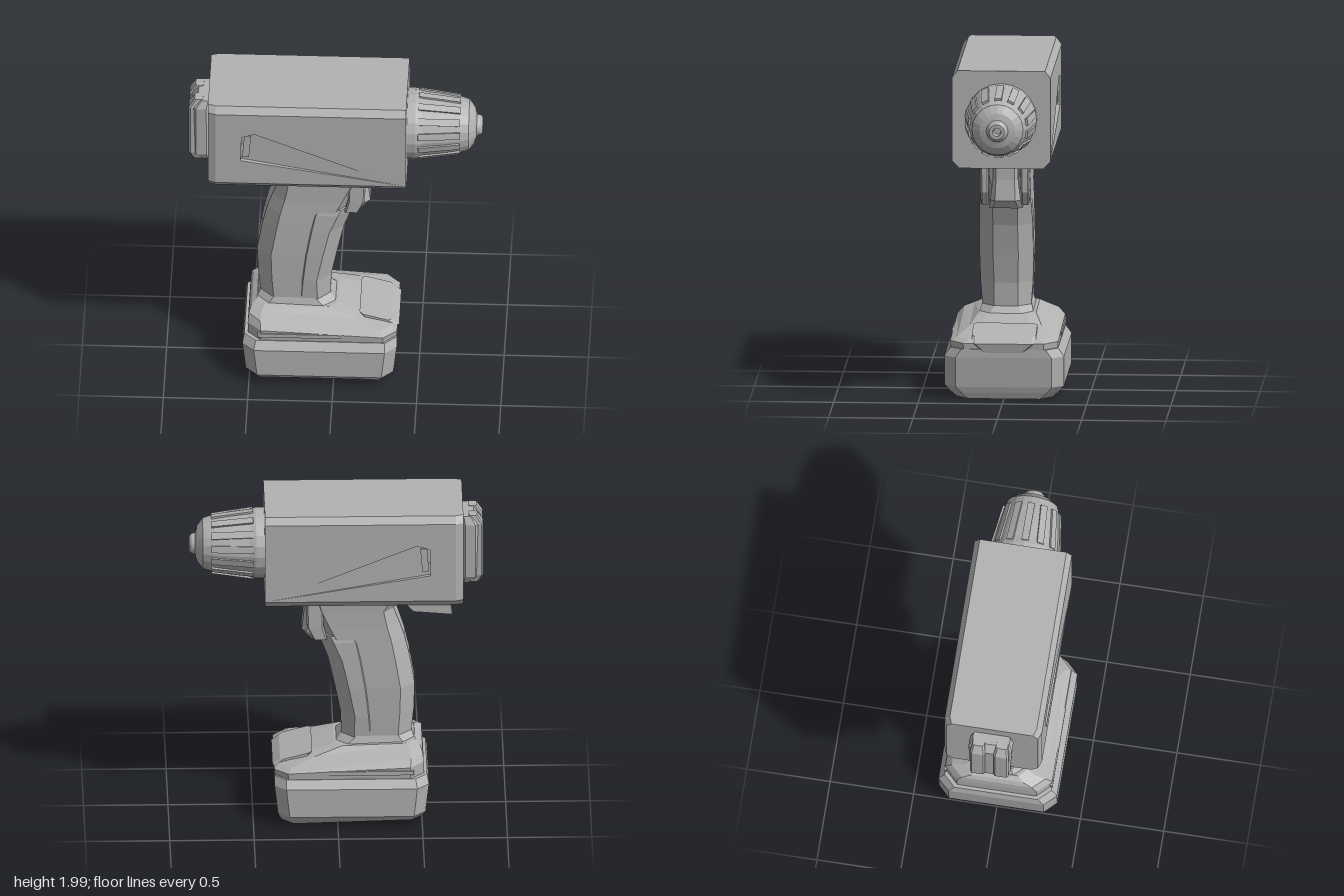
import * as THREE from 'three';

const grey = new THREE.MeshStandardMaterial({ color: 0xb2b2b2 });
grey.name = 'plain grey';

// Adds a faceted mesh with a part name
function add(parent, name, geometry) {
  const flat = geometry.index ? geometry.toNonIndexed() : geometry;
  flat.computeVertexNormals();
  const mesh = new THREE.Mesh(flat, grey);
  mesh.name = name;
  parent.add(mesh);
  return mesh;
}

// Chamfered rectangle in plan; height runs from yBack at x0 to yFront at x1
function ring([x0, x1, half, c, yBack, yFront = yBack]) {
  const plan = [
    [x1, c - half], [x1, half - c], [x1 - c, half], [x0 + c, half],
    [x0, half - c], [x0, c - half], [x0 + c, -half], [x1 - c, -half],
  ];
  return plan.map(([x, z]) => [x, yBack + (yFront - yBack) * (x - x0) / (x1 - x0), z]);
}

// Joins stacked rings, listed from bottom to top, into a closed solid
function loft(sections) {
  const rings = sections.map(ring);
  const n = 8, pos = rings.flat(2), index = [];
  for (let r = 0; r < rings.length - 1; r++) {
    for (let i = 0; i < n; i++) {
      const a = r * n + i, b = r * n + (i + 1) % n;
      index.push(a, a + n, b, b, a + n, b + n);
    }
  }
  const top = (rings.length - 1) * n;
  for (let i = 1; i < n - 1; i++) {
    index.push(0, i, i + 1, top, top + i + 1, top + i);
  }
  const g = new THREE.BufferGeometry();
  g.setAttribute('position', new THREE.Float32BufferAttribute(pos, 3));
  g.setIndex(index);
  return g;
}

const vectors = (points) => points.map(([x, y]) => new THREE.Vector2(x, y));

function extrude(shape, depth) {
  return new THREE.ExtrudeGeometry(shape, { depth, bevelEnabled: false });
}

// Extrudes a z-y section along x, starting at x
function alongX(half, x, length) {
  const section = [...half, ...half.slice().reverse().map(([z, y]) => [-z, y])];
  return extrude(new THREE.Shape(vectors(section)), length).rotateY(Math.PI / 2).translate(x, 0, 0);
}

function box(parent, name, size, position) {
  const mesh = add(parent, name, new THREE.BoxGeometry(...size));
  mesh.position.set(...position);
  return mesh;
}

export function createModel() {
  const model = new THREE.Group();
  model.name = 'cordlessDrill';

  // Motor housing: chamfered core with side plates cut by a tapering recess
  const housing = new THREE.Group();
  housing.name = 'motorHousing';
  housing.position.z = 0.01;
  model.add(housing);
  add(housing, 'housingCore', alongX(
    [[0.25, 1.41], [0.292, 1.455], [0.255, 1.455], [0.255, 1.955], [0.292, 1.955], [0.26, 1.997]], -0.70, 1.13));
  const recess = [[-0.55, 1.62], [-0.545, 1.79], [-0.47, 1.815], [0.39, 1.465]];
  for (const side of [1, -1]) {
    const plate = new THREE.Shape(vectors([[-0.70, 1.455], [0.43, 1.455], [0.43, 1.955], [-0.70, 1.955]]));
    plate.holes.push(new THREE.Path(vectors(recess)));
    add(housing, 'sidePlate', extrude(plate, 0.037).translate(0, 0, side > 0 ? 0.255 : -0.292));
    // Recess floor rises from the vent to the plate surface at its point
    const ramp = extrude(new THREE.Shape(vectors(recess)), 1);
    const v = ramp.attributes.position;
    for (let i = 0; i < v.count; i++) {
      const height = 0.012 + 0.024 * (v.getX(i) + 0.55) / 0.94;
      const outer = side > 0 ? v.getZ(i) > 0.5 : v.getZ(i) < 0.5;
      v.setZ(i, side * (outer ? 0.255 + height : 0.25));
    }
    add(housing, 'recessFloor', ramp);
    const vent = box(housing, 'ventBlock', [0.04, 0.15, 0.025], [-0.515, 1.715, side * 0.267]);
    vent.rotation.z = -0.08;
  }

  // Rear panel, narrowing slightly toward the back
  const panel = alongX([[0.25, 1.41], [0.292, 1.455], [0.292, 1.955], [0.26, 1.997]], -0.745, 0.045);
  const p = panel.attributes.position;
  for (let i = 0; i < p.count; i++) {
    if (p.getX(i) < -0.72) p.setZ(i, p.getZ(i) * 0.94);
  }
  add(housing, 'rearPanel', panel);

  // Rear cap with two raised ribs
  add(model, 'rearCap', loft([
    [-0.80, -0.73, 0.09, 0.02, 1.48], [-0.85, -0.73, 0.12, 0.03, 1.53],
    [-0.85, -0.73, 0.13, 0.03, 1.87], [-0.81, -0.73, 0.11, 0.02, 1.92],
  ])).position.z = 0.01;
  for (const z of [-0.06, 0.08]) {
    const rib = add(model, 'rearCapRib', loft([
      [-0.84, -0.78, 0.03, 0.01, 1.49], [-0.865, -0.78, 0.045, 0.01, 1.54],
      [-0.865, -0.78, 0.045, 0.01, 1.87], [-0.83, -0.78, 0.035, 0.01, 1.925],
    ]));
    rib.position.z = z;
  }

  // Chuck: full, rounded lathe with low ribs around it
  const chuck = new THREE.Group();
  chuck.name = 'chuck';
  chuck.position.set(0.42, 1.71, 0.01);
  chuck.rotation.z = -Math.PI / 2;
  model.add(chuck);
  const profile = [[0, 0], [0.212, 0], [0.213, 0.06], [0.202, 0.10], [0.190, 0.20], [0.172, 0.31], [0.152, 0.375],
    [0.105, 0.41], [0.065, 0.42], [0.06, 0.44], [0.045, 0.455], [0.025, 0.455], [0.02, 0.41], [0, 0.41]];
  add(chuck, 'chuckSleeve', new THREE.LatheGeometry(vectors(profile), 20));
  for (let i = 0; i < 14; i++) {
    const spoke = new THREE.Group();
    spoke.name = 'chuckRib';
    spoke.rotation.y = i * Math.PI * 2 / 14;
    chuck.add(spoke);
    const rib = box(spoke, 'rib', [0.014, 0.25, 0.042], [0.19, 0.2, 0]);
    rib.rotation.z = 0.14;
  }

  // Handle with rounded corners, curving back toward the foot
  add(model, 'handle', loft([
    [-0.48, 0.03, 0.17, 0.06, 0.43], [-0.44, -0.035, 0.145, 0.08, 0.51],
    [-0.455, -0.03, 0.15, 0.085, 0.65], [-0.46, 0.005, 0.154, 0.085, 0.82],
    [-0.43, 0.04, 0.152, 0.085, 1.0], [-0.40, 0.08, 0.15, 0.08, 1.13],
    [-0.37, 0.12, 0.148, 0.075, 1.22], [-0.335, 0.15, 0.15, 0.06, 1.32],
    [-0.39, 0.18, 0.155, 0.06, 1.42],
  ])).position.z = 0.008;
  add(model, 'gripPanel', loft([
    [-0.27, -0.025, 0.145, 0.075, 0.5], [-0.27, -0.02, 0.156, 0.085, 0.64],
    [-0.25, 0.015, 0.16, 0.085, 0.82], [-0.22, 0.055, 0.158, 0.085, 1.0],
    [-0.19, 0.10, 0.154, 0.08, 1.12], [-0.15, 0.11, 0.145, 0.07, 1.16],
  ])).position.z = 0.008;
  add(model, 'trigger', loft([
    [0.02, 0.15, 0.10, 0.025, 1.12], [0.04, 0.21, 0.09, 0.03, 1.175],
    [0.05, 0.195, 0.075, 0.02, 1.30], [0.05, 0.195, 0.075, 0.02, 1.42],
  ]));
  for (const side of [1, -1]) {
    add(model, 'triggerCheek', loft([
      [0.06, 0.14, 0.022, 0.008, 1.14], [0.08, 0.18, 0.025, 0.01, 1.22], [0.08, 0.185, 0.025, 0.01, 1.42],
    ])).position.z = 0.005 + side * 0.12;
  }

  // Small flap hanging under the rear of the housing
  const flap = new THREE.Shape(vectors([[-0.68, 1.345], [-0.45, 1.365], [-0.40, 1.42], [-0.67, 1.42]]));
  add(model, 'underFlap', extrude(flap, 0.07).translate(0, 0, -0.235));

  // Foot with rounded shoulders that slopes down to the front
  add(model, 'foot', loft([
    [-0.51, 0.37, 0.315, 0.08, 0.29], [-0.51, 0.375, 0.32, 0.08, 0.385, 0.345],
    [-0.505, 0.345, 0.28, 0.07, 0.43, 0.365], [-0.49, 0.20, 0.215, 0.06, 0.455, 0.405],
    [-0.46, 0.02, 0.17, 0.05, 0.475, 0.46],
  ]));
  add(model, 'frontLatch', loft([
    [0.2, 0.375, 0.13, 0.02, 0.29], [0.2, 0.385, 0.19, 0.02, 0.345], [0.15, 0.34, 0.19, 0.02, 0.43, 0.38],
  ]));
  for (const side of [1, -1]) {
    box(model, 'footRail', [0.5, 0.025, 0.016], [-0.2, 0.35, side * 0.318]);
  }

  // Battery pack
  add(model, 'battery', loft([
    [-0.49, 0.33, 0.285, 0.07, 0.035, 0.005], [-0.505, 0.345, 0.325, 0.07, 0.045],
    [-0.52, 0.355, 0.354, 0.07, 0.08], [-0.54, 0.375, 0.355, 0.07, 0.26],
    [-0.53, 0.375, 0.32, 0.07, 0.31],
  ]));

  return model;
}
